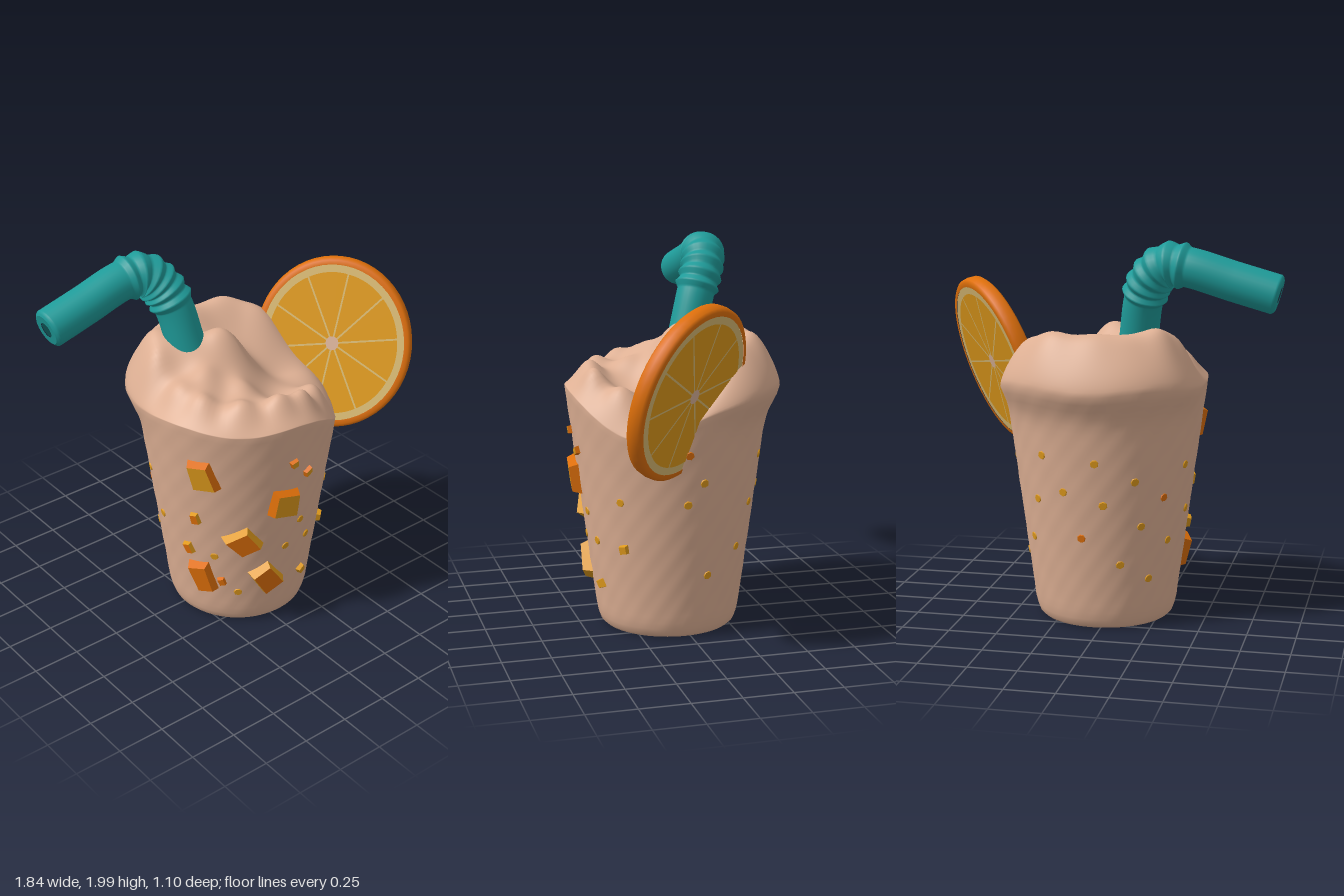
import * as THREE from 'three';
import { mergeVertices } from 'three/addons/utils/BufferGeometryUtils.js';

const mat = (name, color) => {
  const m = new THREE.MeshStandardMaterial({ color });
  m.name = name;
  return m;
};
const CX = 0.04, CZ = 0.033, RAD = Math.PI / 180;
const gauss = (d, s) => Math.exp(-(d * d) / (s * s));
const wallRadius = (y) => 0.36 + 0.133 * y;
const { smoothstep, lerp } = THREE.MathUtils;

function seeded(seed) {
  return () => (seed = (seed * 16807) % 2147483647) / 2147483647;
}

// Height of the cup edge: dips in front of the fruit slice
function rimHeight(a) {
  const d = Math.atan2(Math.sin(a - 0.5), Math.cos(a - 0.5));
  return 1.26 - 0.2 * gauss(d, 0.62) + 0.012 * Math.sin(5 * a);
}

// Peaks and hollows of the frothy top: x, z, height, width
const BUMPS = [
  [0, -0.04, 0.24, 0.16], [0.24, -0.36, 0.09, 0.13], [0.02, -0.36, 0.09, 0.14], [0.4, -0.22, 0.05, 0.12],
  [-0.16, -0.32, 0.05, 0.12], [-0.2, -0.1, 0.12, 0.15], [0.28, 0.02, -0.06, 0.15], [0.1, 0.24, -0.04, 0.11],
  [-0.37, 0.07, 0.08, 0.08], [-0.33, 0.22, 0.08, 0.08], [-0.2, 0.36, 0.09, 0.09], [-0.02, 0.43, 0.09, 0.08],
  [0.13, 0.44, 0.09, 0.07], [0.3, 0.34, 0.09, 0.09], [-0.22, 0.1, 0.09, 0.1],
  [-0.08, 0.22, 0.07, 0.09], [-0.38, -0.12, 0.08, 0.09], [-0.31, -0.26, 0.07, 0.09],
];

// Cup wall and froth in one skin: rings run up the wall, then inwards over the top
function drinkGeometry() {
  const N = 120, WALL = 30, TOP = 40, pos = [], idx = [];
  const foot = [[0.001, 0.004], [0.31, 0.004], [0.335, 0.006], [0.352, 0.022], [0.364, 0.055]];
  const rows = foot.length + WALL + TOP;
  for (let i = 0; i < rows; i++) {
    for (let j = 0; j < N; j++) {
      const a = (j / N) * Math.PI * 2, c = Math.cos(a), s = Math.sin(a), rim = rimHeight(a);
      const back = smoothstep(-s, -0.1, 0.7);
      const lip = (y) => 0.052 * back * gauss(y - 1.27, 0.11);
      let r, y;
      if (i < foot.length) [r, y] = foot[i];
      else if (i < foot.length + WALL) {
        y = 0.055 + ((i - foot.length + 1) / WALL) * (rim - 0.055);
        r = wallRadius(y) + lip(y) + 0.0015 * Math.sin(17 * a + 9 * y) * Math.sin(31 * y + 6 * a);
      } else {
        // Closer rings near the edge give it a rounded shoulder
        const t = (i - foot.length - WALL + 1) / TOP, k = Math.max(0.002, 1 - t ** 1.4);
        r = (wallRadius(rim) + lip(rim)) * k;
        y = lerp(1.25, rim, k * k) + 0.05 * (1 - k ** 10);
        y += 0.21 * back * Math.sqrt(1 - k * k) * smoothstep(k, 0.25, 0.8);
        for (const [bx, bz, h, w] of BUMPS) {
          y += h * gauss(Math.hypot(CX + r * c - bx, CZ + r * s - bz), w) * (1 - k ** 12);
        }
      }
      pos.push(CX + r * c, y, CZ + r * s);
    }
  }
  for (let i = 0; i < rows - 1; i++) {
    for (let j = 0; j < N; j++) {
      const a = i * N + j, b = i * N + ((j + 1) % N);
      idx.push(a, a + N, b, b, a + N, b + N);
    }
  }
  const g = new THREE.BufferGeometry();
  g.setAttribute('position', new THREE.Float32BufferAttribute(pos, 3));
  g.setIndex(idx);
  g.computeVertexNormals();
  return g;
}

function add(parent, name, geometry, material) {
  const m = new THREE.Mesh(geometry, material);
  m.name = name;
  parent.add(m);
  return m;
}

// Bendy straw: a tube whose radius steps in and out along the elbow
function makeStraw(teal, dark) {
  const straw = new THREE.Group();
  straw.name = 'straw';
  const path = new THREE.CatmullRomCurve3([
    [-0.13, 1.3, -0.08], [-0.165, 1.5, -0.135], [-0.2, 1.7, -0.19], [-0.25, 1.81, -0.235],
    [-0.33, 1.875, -0.265], [-0.44, 1.868, -0.28], [-0.66, 1.805, -0.28], [-0.885, 1.742, -0.28],
  ].map((p) => new THREE.Vector3(...p)));
  const T = 220, S = 28;
  const tube = new THREE.TubeGeometry(path, T, 1, S);
  const p = tube.attributes.position, v = new THREE.Vector3();
  for (let i = 0; i <= T; i++) {
    const u = i / T, centre = path.getPointAt(u);
    const k = (u - 0.34) / 0.28;
    let r = 0.099;
    if (k > 0 && k < 1) r += 0.019 * (1 - Math.abs(((k * 6) % 1) * 2 - 1));
    if (u > 0.985) r -= 0.02 * ((u - 0.985) / 0.015) ** 2;
    for (let j = 0; j <= S; j++) {
      const n = i * (S + 1) + j;
      v.fromBufferAttribute(p, n).sub(centre).multiplyScalar(r).add(centre);
      p.setXYZ(n, v.x, v.y, v.z);
    }
  }
  tube.deleteAttribute('uv');
  tube.deleteAttribute('normal');
  const smooth = mergeVertices(tube, 1e-5);
  smooth.computeVertexNormals();
  add(straw, 'strawTube', smooth, teal);

  const end = new THREE.Group();
  end.name = 'strawEnd';
  end.position.copy(path.getPointAt(1));
  end.lookAt(end.position.clone().add(path.getTangentAt(1)));
  add(end, 'strawMouth', new THREE.RingGeometry(0.04, 0.08, 28), teal);
  add(end, 'strawHole', new THREE.CircleGeometry(0.041, 20), dark).position.z = -0.004;
  straw.add(end);
  return straw;
}

// Citrus wheel, the same on both faces
function makeSlice(rind, pith, flesh, hub) {
  const slice = new THREE.Group();
  slice.name = 'citrusSlice';
  const edge = [[0.415, -0.042], [0.438, -0.042], [0.452, -0.03], [0.456, 0], [0.452, 0.03], [0.438, 0.042], [0.415, 0.042]];
  add(slice, 'rind', new THREE.LatheGeometry(edge.map((q) => new THREE.Vector2(...q)), 56).rotateX(Math.PI / 2), rind);
  add(slice, 'pith', new THREE.CylinderGeometry(0.417, 0.417, 0.078, 56).rotateX(Math.PI / 2), pith);
  for (const turn of [0, Math.PI]) {
    const face = new THREE.Group();
    face.name = 'sliceFace';
    face.rotation.y = turn;
    for (let i = 0; i < 10; i++) {
      const step = Math.PI / 5, a = i * step + 0.15;
      const seg = add(face, 'segment', new THREE.CircleGeometry(0.36, 8, a, step), flesh);
      seg.position.set(0.016 * Math.cos(a + step / 2), 0.016 * Math.sin(a + step / 2), 0.041);
    }
    add(face, 'hub', new THREE.CircleGeometry(0.038, 12), hub).position.z = 0.043;
    slice.add(face);
  }
  slice.scale.x = 0.91;
  slice.position.set(0.633, 1.325, 0.092);
  slice.lookAt(0.633 - 0.74, 1.325 + 0.3, 0.092 + 0.6);
  return slice;
}

export function createModel() {
  const model = new THREE.Group();
  model.name = 'fruitSmoothie';
  const cream = mat('peach cream', 0xdeb094), teal = mat('teal', 0x1f9b99), dark = mat('dark teal', 0x0f5557);
  const rind = mat('orange', 0xde6f0a), pith = mat('pale pith', 0xdabb74), flesh = mat('golden flesh', 0xdf9a1c);
  const hub = mat('pinkish core', 0xdcb49a);

  add(model, 'drink', drinkGeometry(), cream);
  model.add(makeStraw(teal, dark));
  model.add(makeSlice(rind, pith, flesh, hub));

  // Stand something on the wall, facing out
  const stick = (mesh, deg, y, out, roll) => {
    const a = deg * RAD, r = wallRadius(y) + out;
    mesh.position.set(CX + r * Math.cos(a), y, CZ + r * Math.sin(a));
    mesh.rotation.set(0.132, Math.PI / 2 - a, roll, 'YXZ');
  };

  // Fruit chunks: angle, height, width, tall, roll, side colour, front colour
  const rand = seeded(77);
  const chunks = [
    [149, 1.0, 0.14, 0.18, 0.1, rind, flesh], [98.5, 0.8, 0.17, 0.17, -0.2, rind, flesh],
    [124.5, 0.58, 0.15, 0.16, 0.5, flesh, rind], [107, 0.315, 0.14, 0.19, 0.6, flesh, rind],
    [154, 0.31, 0.12, 0.2, 0.25, rind, rind], [94.5, 1.04, 0.045, 0.045, 0.3, rind, flesh],
    [83, 0.95, 0.05, 0.04, 0.5, rind, flesh], [72.5, 0.255, 0.05, 0.05, 0.4, flesh, flesh],
    [45.5, 0.48, 0.05, 0.05, 0.2, flesh, flesh], [156.5, 0.7, 0.05, 0.07, 0.2, flesh, rind],
    [164, 0.48, 0.05, 0.07, 0.3, flesh, rind], [140, 0.295, 0.04, 0.05, 0.3, rind, rind],
  ];
  for (const [deg, y, w, h, roll, side, front] of chunks) {
    const depth = Math.min(0.075, w * 0.7);
    let g = new THREE.CylinderGeometry(0.54, 0.71, 1, 4).rotateY(Math.PI / 4).rotateX(Math.PI / 2);
    const shearX = (rand() - 0.5) * 0.4, taper = (rand() - 0.5) * 0.5, p = g.attributes.position;
    for (let i = 0; i < p.count; i++) {
      const x = p.getX(i), yy = p.getY(i);
      p.setXYZ(i, (x * (1 + taper * yy) + shearX * yy) * w, yy * h, p.getZ(i) * depth);
    }
    g = g.toNonIndexed();
    g.computeVertexNormals();
    stick(add(model, 'fruitChunk', g, [side, front, side]), deg, y, 0.005, roll);
  }

  // Small flecks of fruit pulp all round: angle, height
  const flecks = [
    [46, 0.73], [82, 0.63], [93, 0.49], [72, 0.49], [128, 0.22], [145, 0.46], [2, 0.99], [-8, 0.84], [2, 0.73],
    [-41, 0.46], [-15, 0.34], [-74, 0.74], [-60, 0.92], [-85, 0.5], [-95, 0.9], [-100, 0.68], [-112, 0.36],
    [-120, 0.8], [-126, 0.56], [-135, 0.27], [-142, 0.7], [-150, 0.46], [-160, 0.85], [-170, 0.6], [-52, 0.68],
  ];
  flecks.forEach(([deg, y], i) => {
    const g = new THREE.CylinderGeometry(0.02, 0.024, 0.008, 7).rotateX(Math.PI / 2);
    stick(add(model, 'pulpFleck', g, i % 7 === 6 ? rind : flesh), deg, y, 0.001, rand() * 3);
  });
  return model;
}
